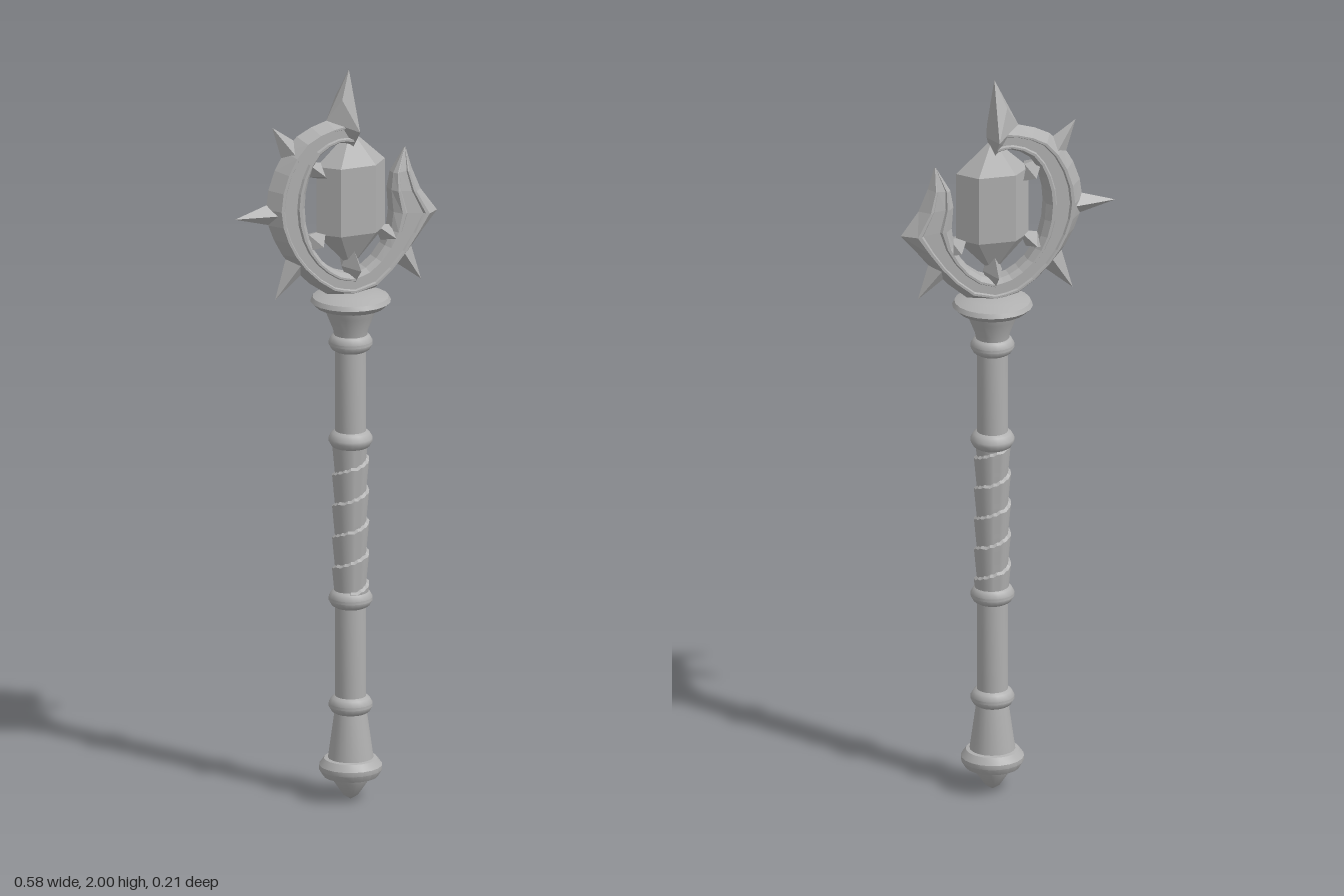
import * as THREE from 'three';
import { toCreasedNormals } from 'three/addons/utils/BufferGeometryUtils.js';
import { ConvexGeometry } from 'three/addons/geometries/ConvexGeometry.js';

const AXIS = 0.04; // the shaft stands slightly off centre

export function createModel() {
  const group = new THREE.Group();
  group.name = 'sceptre';
  const stone = new THREE.MeshStandardMaterial({ color: 0xb0b0b0 });

  const add = (name, geometry, x = 0, y = 0, z = 0) => {
    const mesh = new THREE.Mesh(geometry, stone);
    mesh.name = name;
    mesh.position.set(x, y, z);
    group.add(mesh);
    return mesh;
  };
  const flat = (geometry) => {
    const g = geometry.index ? geometry.toNonIndexed() : geometry;
    g.computeVertexNormals();
    return g;
  };
  const lathe = (name, profile) => {
    const points = profile.map(([r, y]) => new THREE.Vector2(r, y));
    add(name, toCreasedNormals(new THREE.LatheGeometry(points, 20), 0.6), AXIS);
  };

  // Pommel, shaft and collar
  lathe('pommel', [[0, 0.005], [0.02, 0.018], [0.045, 0.055], [0.05, 0.068], [0.072, 0.07],
    [0.083, 0.088], [0.083, 0.1], [0.07, 0.118], [0.06, 0.12], [0.042, 0.25]]);
  lathe('lowerShaft', [[0.041, 0.24], [0.041, 0.56]]);
  lathe('upperShaft', [[0.041, 0.98], [0.041, 1.25]]);
  lathe('collar', [[0.042, 1.26], [0.046, 1.29], [0.062, 1.33], [0.068, 1.348], [0.09, 1.353],
    [0.106, 1.368], [0.1, 1.38], [0.07, 1.392], [0, 1.4]]);
  for (const y of [0.265, 0.555, 0.99, 1.255]) {
    lathe('shaftRing', [[0.04, y - 0.024], [0.05, y - 0.018], [0.058, y - 0.004],
      [0.058, y + 0.004], [0.05, y + 0.018], [0.04, y + 0.024]]);
  }

  // Grip: overlapping leather turns made by a helical step in the radius
  const grip = new THREE.CylinderGeometry(0.04, 0.04, 0.43, 32, 72, true);
  const pos = grip.attributes.position;
  for (let i = 0; i < pos.count; i++) {
    const x = pos.getX(i), y = pos.getY(i), z = pos.getZ(i);
    const turn = y / 0.085 + Math.atan2(z, x) / (2 * Math.PI) + 20;
    const r = 0.041 + 0.008 * (turn - Math.floor(turn));
    const k = r / Math.hypot(x, z);
    pos.setXYZ(i, x * k, y, z * k);
  }
  add('gripWrap', toCreasedNormals(grip, 0.6), AXIS, 0.772);

  // Gem: six-sided crystal with pointed ends
  const gemPoints = [];
  for (const [y, s] of [[1.47, 0.12], [1.56, 1], [1.745, 1], [1.825, 0.12]]) {
    for (const [x, z] of [[0.098, 0], [0.05, 0.05], [-0.05, 0.05], [-0.098, 0], [-0.05, -0.05], [0.05, -0.05]]) {
      gemPoints.push(new THREE.Vector3(x * s, y, z * s));
    }
  }
  add('gem', new ConvexGeometry(gemPoints), AXIS);

  // Crescent arms: a ridged, grooved section swept between outer and inner edges
  const half = [[0, 0], [0.28, 0.036], [0.36, 0.036], [0.4, 0.03], [0.74, 0.03], [0.78, 0.036], [0.86, 0.036], [1, 0.018]];
  const section = [...half, ...half.slice(1).reverse().map(([t, z]) => [t, -z])];
  const arm = (name, stations, flip) => {
    const n = section.length, positions = [], index = [];
    stations.forEach(([ox, oy, ix, iy, depth]) => {
      for (const [t, z] of section) positions.push(ox + (ix - ox) * t, oy + (iy - oy) * t, z * depth);
    });
    for (let i = 0; i < stations.length - 1; i++) {
      for (let j = 0; j < n; j++) {
        const a = i * n + j, b = i * n + (j + 1) % n;
        if (flip) index.push(a, b + n, b, a, a + n, b + n);
        else index.push(a, b, b + n, a, b + n, a + n);
      }
    }
    const g = new THREE.BufferGeometry();
    g.setAttribute('position', new THREE.Float32BufferAttribute(positions, 3));
    g.setIndex(index);
    add(name, flat(g));
  };

  const longEdge = [
    [0.04, 1.38, 0.04, 1.445], [-0.03, 1.395, 0, 1.455], [-0.125, 1.475, -0.05, 1.492],
    [-0.18, 1.56, -0.086, 1.555], [-0.203, 1.645, -0.1, 1.645], [-0.178, 1.75, -0.088, 1.72],
    [-0.115, 1.835, -0.055, 1.782], [-0.03, 1.868, 0, 1.808], [0.03, 1.88, 0.035, 1.8]];
  const outer = new THREE.CatmullRomCurve3(longEdge.map(([x, y]) => new THREE.Vector3(x, y, 0)));
  const inner = new THREE.CatmullRomCurve3(longEdge.map(([, , x, y]) => new THREE.Vector3(x, y, 0)));
  const longStations = [];
  for (let i = 0; i <= 16; i++) {
    const o = outer.getPoint(i / 16), p = inner.getPoint(i / 16);
    longStations.push([o.x, o.y, p.x, p.y, 1]);
  }
  arm('longArm', longStations, false);
  arm('shortArm', [
    [0.04, 1.38, 0.04, 1.445, 1], [0.11, 1.395, 0.075, 1.458, 1], [0.16, 1.437, 0.105, 1.48, 1],
    [0.205, 1.485, 0.13, 1.512, 1], [0.245, 1.535, 0.148, 1.55, 1], [0.288, 1.585, 0.155, 1.6, 1],
    [0.24, 1.65, 0.15, 1.66, 0.9], [0.215, 1.71, 0.157, 1.705, 0.65], [0.197, 1.77, 0.193, 1.768, 0.05],
  ], true);

  // Tall point that ends the long arm
  add('crownPoint', new ConvexGeometry([
    [0.035, 2.0, 0], [-0.03, 1.868, 0], [0.006, 1.925, 0.022], [0.006, 1.925, -0.022],
    [0.038, 1.845, 0.066], [0.038, 1.845, -0.066], [0.056, 1.84, 0], [0.038, 1.77, 0], [0.005, 1.81, 0],
  ].map((p) => new THREE.Vector3(...p))));

  // Outer spikes: base and tip on the rim
  for (const [bx, by, tx, ty] of [
    [-0.125, 1.785, -0.185, 1.868], [-0.17, 1.632, -0.292, 1.63],
    [-0.115, 1.49, -0.177, 1.395], [0.18, 1.49, 0.242, 1.402]]) {
    const length = Math.hypot(tx - bx, ty - by);
    const spike = add('rimSpike', flat(new ConeGeometry4(length)), (bx + tx) / 2, (by + ty) / 2);
    spike.rotation.z = Math.atan2(ty - by, tx - bx) - Math.PI / 2;
  }

  // Diamond claws that hold the gem: centre, lean, half sizes
  for (const [x, y, lean, w, h, d] of [
    [AXIS, 1.465, 0, 0.026, 0.07, 0.068], [-0.065, 1.543, -0.9, 0.024, 0.044, 0.062],
    [0.14, 1.543, 0.9, 0.024, 0.044, 0.065], [-0.062, 1.737, -2.3, 0.024, 0.046, 0.066]]) {
    const claw = add('gemClaw', new THREE.OctahedronGeometry(1), x, y);
    claw.scale.set(w, h, d);
    claw.rotation.z = lean;
  }
  return group;
}

// Four-sided spike with ridges facing the front and the sides
class ConeGeometry4 extends THREE.ConeGeometry {
  constructor(length) {
    super(0.036, length, 4, 1);
    this.scale(1, 1, 0.8);
  }
}
